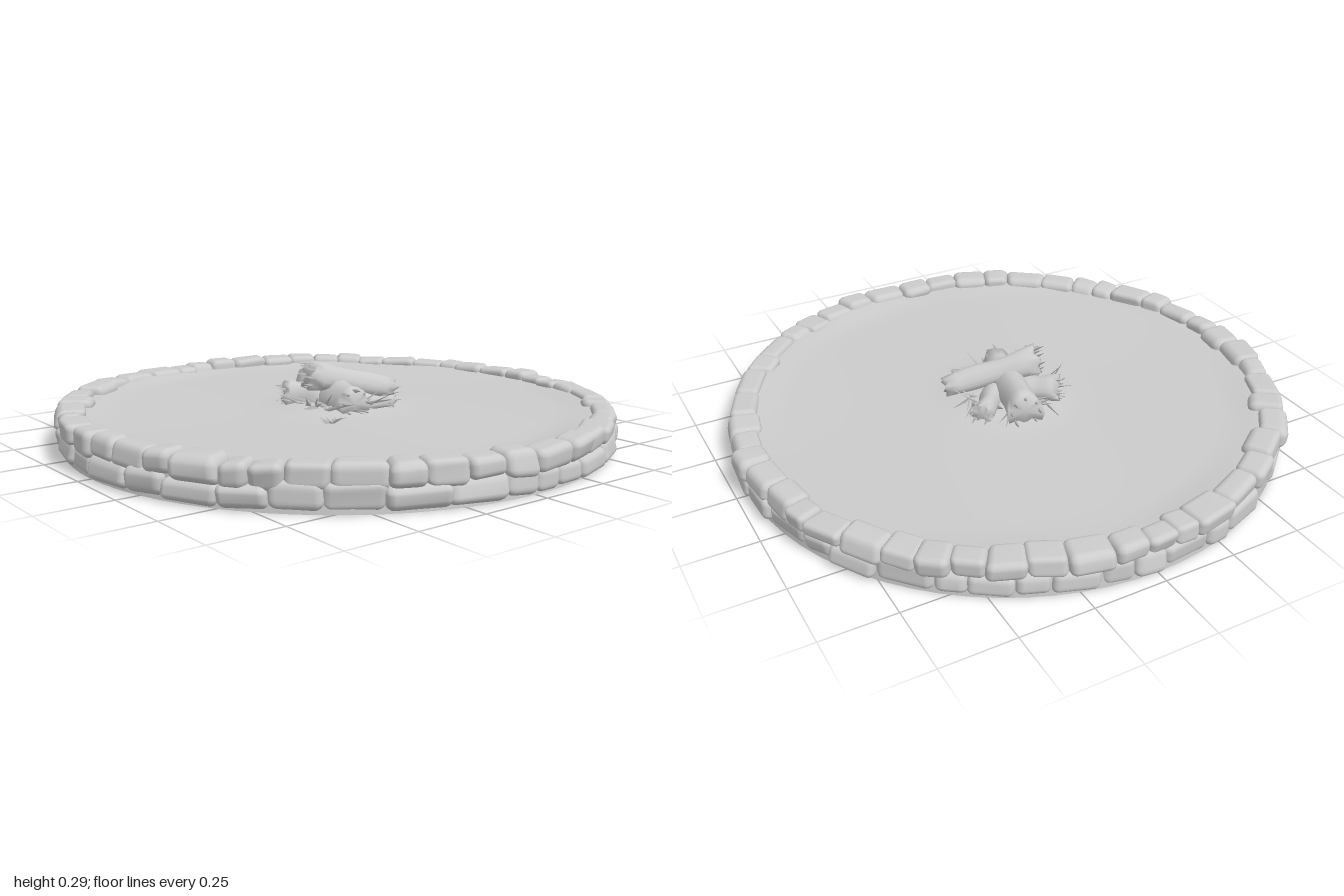
import * as THREE from 'three';
import { mergeVertices } from 'three/addons/utils/BufferGeometryUtils.js';
import { RoundedBoxGeometry } from 'three/addons/geometries/RoundedBoxGeometry.js';

const TAU = Math.PI * 2;

export function createModel() {
  const group = new THREE.Group();
  const mat = new THREE.MeshStandardMaterial({ color: 0xcccccc, roughness: 0.9 });
  const thin = new THREE.MeshStandardMaterial({ color: 0xcccccc, side: THREE.DoubleSide });
  let seed = 17;
  const rnd = (a = 0, b = 1) => {
    seed = (seed * 16807) % 2147483647;
    return a + (b - a) * seed / 2147483647;
  };
  const add = (parent, name, geo, material = mat) => {
    const mesh = new THREE.Mesh(geo, material);
    mesh.name = name;
    parent.add(mesh);
    return mesh;
  };
  // Move every vertex by a rule, then weld and smooth
  const warp = (geo, rule) => {
    geo.deleteAttribute('normal');
    geo.deleteAttribute('uv');
    const g = mergeVertices(geo, 1e-5);
    const p = g.attributes.position, v = new THREE.Vector3();
    for (let i = 0; i < p.count; i++) {
      rule(v.fromBufferAttribute(p, i));
      p.setXYZ(i, v.x, v.y, v.z);
    }
    g.computeVertexNormals();
    return g;
  };

  // Core behind the stones, with a flat underside
  const core = add(group, 'baseCore', new THREE.CylinderGeometry(0.945, 0.955, 0.095, 72));
  core.position.y = 0.0475;

  // Earth floor: gently uneven, banked against the stones and the fire
  const soil = (x, z) => {
    const r = Math.hypot(x, z), a = Math.atan2(x, z);
    const bank = THREE.MathUtils.smoothstep(r, 0.78, 0.92);
    return 0.11 + 0.004 * Math.sin(5 * x + 1) * Math.cos(4 * z)
      + bank * (0.009 + 0.009 * Math.sin(5 * a) * Math.sin(3 * a + 1))
      + 0.018 * Math.exp(-((r / 0.2) ** 4));
  };
  const floorGeo = new THREE.RingGeometry(0.001, 0.92, 72, 24).rotateX(-Math.PI / 2);
  add(group, 'earthFloor', warp(floorGeo, (v) => { v.y = soil(v.x, v.z); }));

  // Curved, irregular stone between two angles
  const stone = (a0, a1, y0, y1, rIn, rOut) => {
    const R = (rIn + rOut) / 2, w = (a1 - a0) * R, h = y1 - y0, d = rOut - rIn;
    const taper = rnd(-0.16, 0.16), lean = rnd(-0.1, 0.1), tilt = rnd(-0.12, 0.12);
    const belly = rnd(0.002, 0.008), phase = rnd(0, TAU);
    const geo = new RoundedBoxGeometry(w, h, d, 3, Math.min(w, h, d) * 0.34);
    return warp(geo, ({ x, y, z, ...rest }) => rest) && warp(geo, (v) => {
      const x = v.x * (1 + taper * v.z / d) + lean * v.y;
      const y = v.y * (1 + tilt * v.x / w) + 0.003 * Math.sin(v.x * 40 + phase);
      const z = v.z + belly * Math.sin(v.y * 50 + phase) + 0.003 * Math.cos(v.x * 35 + phase);
      const a = (a0 + a1) / 2 + x / R;
      v.set((R + z) * Math.sin(a), (y0 + y1) / 2 + y, (R + z) * Math.cos(a));
    });
  };
  // Ring of stones of uneven length, scaled to close the circle
  const course = (name, count, shape) => {
    const ring = new THREE.Group();
    ring.name = name;
    const widths = Array.from({ length: count }, () => rnd(0.65, 1.4));
    const k = TAU / widths.reduce((s, w) => s + w, 0);
    let a = 0;
    widths.forEach((w) => {
      add(ring, 'stone', stone(a - 0.003, a + w * k + 0.003, ...shape(a)));
      a += w * k;
    });
    group.add(ring);
  };
  course('lowerStones', 40, () => [0.008, rnd(0.075, 0.095), 0.88, rnd(0.962, 0.98)]);
  course('upperStones', 48, (a) => {
    const top = 0.142 - 0.007 * Math.sin(a);
    return [rnd(0.06, 0.08), top + rnd(-0.006, 0.006), rnd(0.862, 0.885), rnd(0.962, 0.985)];
  });

  // Logs: wobbly tapered trunks with splintered ends
  const fire = new THREE.Group();
  fire.name = 'campfire';
  group.add(fire);
  const up = new THREE.Vector3(0, 1, 0);
  const place = (mesh, from, to) => {
    mesh.position.copy(from).add(to).multiplyScalar(0.5);
    mesh.quaternion.setFromUnitVectors(up, to.clone().sub(from).normalize());
  };
  const log = (name, a, b, r0, r1) => {
    const from = new THREE.Vector3(...a), to = new THREE.Vector3(...b);
    const len = from.distanceTo(to), phase = rnd(0, TAU);
    const geo = warp(new THREE.CylinderGeometry(r1, r0, len, 16, 8), (v) => {
      const ang = Math.atan2(v.z, v.x), t = v.y / len;
      const s = 1 + 0.08 * Math.sin(3 * ang + phase) + 0.09 * Math.cos(t * 9 + phase);
      if (Math.abs(t) > 0.49 && Math.hypot(v.x, v.z) > 0.01)
        v.y += Math.sign(t) * 0.013 * Math.sin(5 * ang + phase);
      v.x *= s;
      v.z = v.z * s + 0.008 * Math.sin(t * 6);
    });
    place(add(fire, name, geo), from, to);
  };
  log('topLog', [-0.115, 0.228, -0.005], [0.2, 0.162, 0.07], 0.05, 0.036);
  log('crossLog', [0.03, 0.155, -0.2], [-0.05, 0.15, 0.17], 0.062, 0.058);
  log('leftLog', [-0.15, 0.15, -0.11], [-0.02, 0.14, -0.02], 0.045, 0.045);
  log('rightLog', [0.16, 0.14, -0.12], [0.02, 0.135, 0.02], 0.036, 0.04);
  log('frontLog', [0.12, 0.13, 0.17], [0.0, 0.13, 0.04], 0.027, 0.032);

  // Splinters and straw: slim three-sided spikes
  const spike = (parent, name, from, to, r) => {
    const mesh = add(parent, name, new THREE.ConeGeometry(r, from.distanceTo(to), 3), thin);
    place(mesh, from, to);
  };
  const V = (x, y, z) => new THREE.Vector3(x, y, z);
  const straw = new THREE.Group();
  straw.name = 'straw';
  fire.add(straw);
  for (let i = 0; i < 70; i++) {
    const a = i / 70 * TAU + rnd(-0.05, 0.05), b = a + rnd(-0.5, 0.5);
    const r = rnd(0.09, 0.16), R = rnd(0.17, 0.26);
    spike(straw, 'strawBlade', V(r * Math.sin(a), 0.125, r * Math.cos(a)),
      V(R * Math.sin(b) * 0.93, rnd(0.12, 0.185), R * Math.cos(b)), rnd(0.006, 0.012));
  }
  // Splinters around the log ends: end point, outward direction, ring radius
  const ends = [
    [V(-0.115, 0.228, -0.005), V(-0.94, 0.2, -0.22), 0.04],
    [V(-0.05, 0.15, 0.17), V(-0.21, 0.1, 0.97), 0.045],
    [V(0.03, 0.155, -0.2), V(0.21, 0.1, -0.97), 0.05],
    [V(-0.15, 0.15, -0.11), V(-0.82, 0.1, -0.56), 0.035],
    [V(0.16, 0.14, -0.12), V(0.7, 0.1, -0.7), 0.03],
  ];
  ends.forEach(([c, dir, r]) => {
    const side = V().crossVectors(up, dir).normalize();
    for (let i = 0; i < 8; i++) {
      const a = i / 8 * TAU;
      const p = c.clone().addScaledVector(side, r * Math.cos(a)).add(V(0, r * Math.sin(a), 0));
      spike(fire, 'splinter', p.clone().addScaledVector(dir, -0.02),
        p.clone().addScaledVector(dir, rnd(0.015, 0.045)), 0.012);
    }
  });

  // Small loose tuft beside the fire
  const tuft = new THREE.Group();
  tuft.name = 'looseTuft';
  group.add(tuft);
  for (let i = 0; i < 7; i++) {
    const a = i / 7 * TAU + rnd(0, 0.5), r = rnd(0.03, 0.06);
    spike(tuft, 'tuftBlade', V(-0.19, 0.11, 0.22),
      V(-0.19 + r * Math.sin(a), rnd(0.118, 0.135), 0.22 + r * Math.cos(a)), 0.009);
  }
  return group;
}
